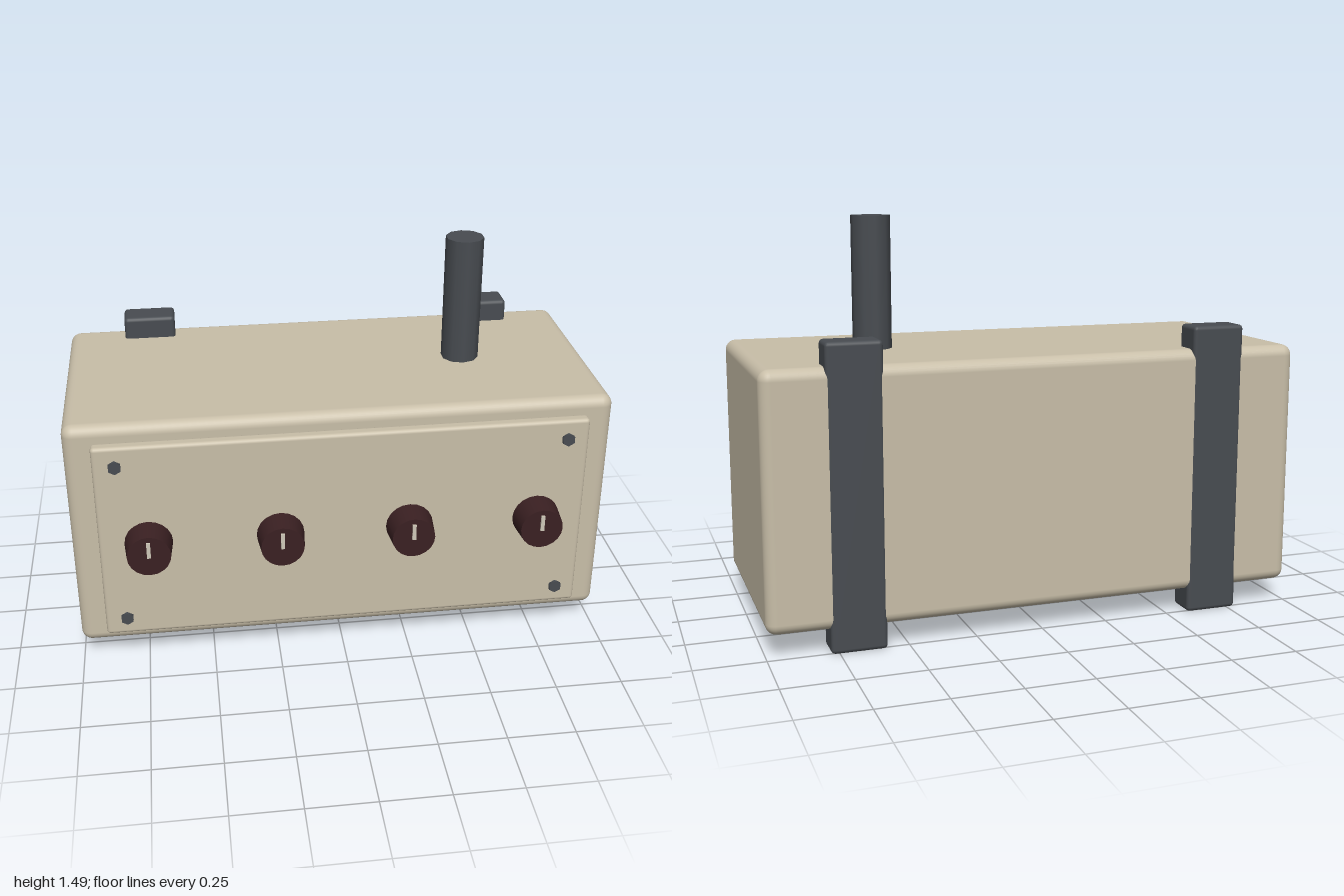
import * as THREE from 'three';
import { RoundedBoxGeometry } from 'three/addons/geometries/RoundedBoxGeometry.js';

const material = (name, color) => {
  const m = new THREE.MeshStandardMaterial({ color });
  m.name = name;
  return m;
};

export function createModel() {
  const group = new THREE.Group();
  const beige = material('beige enamel', 0xc8bea8);
  const steel = material('dark steel', 0x484c51);
  const bakelite = material('dark red brown', 0x3a2022);
  const pale = material('pale marker', 0xcfc8b8);

  const add = (name, geometry, mat, x, y, z) => {
    const mesh = new THREE.Mesh(geometry, mat);
    mesh.name = name;
    mesh.position.set(x, y, z);
    group.add(mesh);
    return mesh;
  };

  // Housing with softened edges and the raised control panel
  add('housing', new RoundedBoxGeometry(2, 0.915, 0.88, 4, 0.04), beige, 0, 0.5425, -0.075);
  add('controlPanel', new RoundedBoxGeometry(1.8, 0.79, 0.048, 3, 0.014), beige, 0, 0.545, 0.39);

  // Conduit rising from the top
  add('conduit', new THREE.CylinderGeometry(0.072, 0.072, 0.52, 10), steel, 0.515, 1.225, -0.075);

  // Mounting straps standing just proud of the back
  for (const side of [-1, 1]) {
    add('mountingStrap', new RoundedBoxGeometry(0.2, 1.085, 0.116, 2, 0.015), steel, side * 0.68, 0.5425, -0.459);
  }

  // Four tapered knobs with pointer marks
  const knob = new THREE.CylinderGeometry(0.079, 0.088, 0.096, 20).rotateX(Math.PI / 2);
  const pointer = new THREE.BoxGeometry(0.014, 0.062, 0.014);
  for (const x of [-0.72, -0.24, 0.24, 0.72]) {
    add('knob', knob, bakelite, x, 0.545, 0.46);
    add('knobPointer', pointer, pale, x, 0.572, 0.508);
  }

  // Panel screws
  const screw = new THREE.CylinderGeometry(0.025, 0.025, 0.02, 6).rotateX(Math.PI / 2);
  for (const x of [-0.82, 0.82]) {
    for (const y of [0.222, 0.865]) add('panelScrew', screw, steel, x, y, 0.416);
  }

  return group;
}
